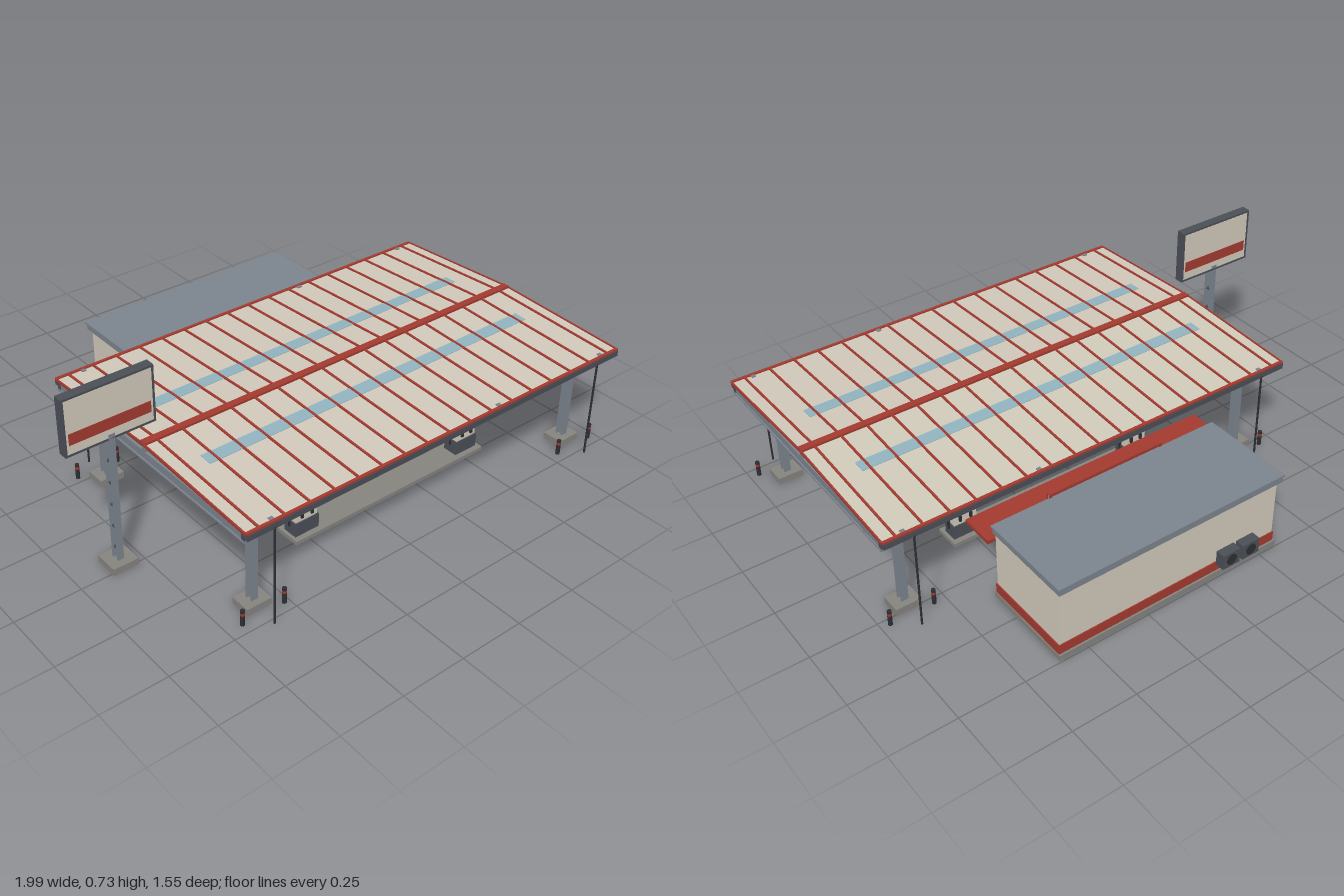
import * as THREE from 'three';

const paint = (color) => new THREE.MeshStandardMaterial({ color });
const M = {
  cream: paint(0xd0c9ba), red: paint(0xa23a30), glass: paint(0x90b3be), steel: paint(0x7b838d),
  dark: paint(0x4a4e56), black: paint(0x2c2e33), concrete: paint(0x85837e), amber: paint(0xe0a23c),
};

// box given by its min/max extents on each axis
function box(parent, name, mat, [x0, x1], [y0, y1], [z0, z1]) {
  const m = new THREE.Mesh(new THREE.BoxGeometry(x1 - x0, y1 - y0, z1 - z0), mat);
  m.position.set((x0 + x1) / 2, (y0 + y1) / 2, (z0 + z1) / 2);
  m.name = name;
  parent.add(m);
  return m;
}

function rod(parent, name, mat, r, x, y0, y1, z, sides = 10) {
  const m = new THREE.Mesh(new THREE.CylinderGeometry(r, r, y1 - y0, sides), mat);
  m.position.set(x, (y0 + y1) / 2, z);
  m.name = name;
  parent.add(m);
}

const around = (c, half) => [c - half, c + half];

function group(parent, name, x = 0, y = 0, z = 0) {
  const g = new THREE.Group();
  g.name = name;
  g.position.set(x, y, z);
  parent.add(g);
  return g;
}

const X0 = -0.71, X1 = 0.99, RIDGE_Z = 0.215;
const COL_X = [-0.605, 0.88], COL_Z = [0.65, -0.215];

function buildCanopy(root) {
  const canopy = group(root, 'canopy');
  // two gently pitched roof slopes, each built flat and then tilted
  for (const s of [1, -1]) {
    const slope = group(canopy, 'roofSlope', 0, 0.434, RIDGE_Z);
    slope.rotation.x = s * 0.049;
    const zr = (a, b) => (s > 0 ? [a, b] : [-b, -a]);
    box(slope, 'roofPanel', M.cream, [X0, X1], [-0.008, 0], zr(0, 0.548));
    box(slope, 'skylight', M.glass, [-0.596, 0.87], [-0.01, 0.002], zr(0.16, 0.212));
    for (let i = 0; i < 17; i++) {
      box(slope, 'roofRib', M.red, around(-0.66 + i * 0.1, 0.004), [0, 0.005], zr(0, 0.548));
    }
    for (const x of [X0, X1]) box(slope, 'rakeTrim', M.red, around(x, 0.003), [-0.006, 0.004], zr(0, 0.548));
    for (const z of [0.1, 0.27, 0.42]) {
      box(slope, 'purlin', M.steel, [X0 + 0.01, X1 - 0.01], [-0.022, -0.008], zr(z - 0.006, z + 0.006));
    }
    for (const x of [-0.605, 0.385, 0.91]) {
      box(slope, 'gutterClip', M.steel, around(x, 0.008), [0, 0.004], zr(0.528, 0.545));
    }
    // gutter along the eave
    const ez = RIDGE_Z + s * 0.547;
    box(canopy, 'gutter', M.dark, [X0, X1], [0.384, 0.406], around(ez, 0.008));
    box(canopy, 'gutterTrim', M.red, [X0, X1], [0.406, 0.412], around(ez, 0.006));
    box(canopy, 'eaveBeam', M.dark, [X0, X1], [0.37, 0.402], around(RIDGE_Z + s * 0.53, 0.009));
  }
  box(canopy, 'ridgeCap', M.red, [X0, X1], [0.431, 0.442], around(RIDGE_Z, 0.014));
  box(canopy, 'ridgeBeam', M.steel, [X0, X1], [0.385, 0.42], around(RIDGE_Z, 0.008));
  // cross beams with a flange, and main beams over the columns
  for (const x of [X0 + 0.007, -0.605, -0.31, -0.01, 0.285, 0.58, 0.88, X1 - 0.007]) {
    box(canopy, 'crossBeam', M.steel, around(x, 0.005), [0.37, 0.404], [-0.325, 0.755]);
    box(canopy, 'crossBeamFlange', M.steel, around(x, 0.01), [0.369, 0.375], [-0.325, 0.755]);
  }
  for (const z of COL_Z) {
    box(canopy, 'mainBeam', M.steel, [X0, X1], [0.372, 0.405], around(z, 0.01));
  }
  // under-roof lamps
  for (const x of [-0.43, 0.14, 0.7]) {
    for (const z of [0.465, -0.03]) box(canopy, 'canopyLamp', M.cream, around(x, 0.05), [0.364, 0.384], around(z, 0.015));
  }
  // I-section columns with footing, downspout and two guard bollards
  for (const x of COL_X) {
    for (const z of COL_Z) {
      const out = z > RIDGE_Z ? 1 : -1;
      const c = group(canopy, 'column', x, 0, z);
      box(c, 'footing', M.concrete, around(0, 0.049), [0, 0.026], around(0, 0.04));
      box(c, 'web', M.steel, around(0, 0.005), [0.026, 0.375], around(0, 0.012));
      for (const f of [-1, 1]) {
        box(c, 'flange', M.steel, around(0, 0.014), [0.026, 0.375], around(f * 0.0125, 0.0025));
        rod(c, 'bollard', M.black, 0.008, f * 0.085, 0, 0.062, out * 0.061);
        rod(c, 'bollardBand', M.red, 0.0085, f * 0.085, 0.042, 0.052, out * 0.061);
      }
      rod(c, 'downspout', M.black, 0.004, 0, 0, 0.39, RIDGE_Z + out * 0.552 - z, 8);
    }
  }
}

function buildPump(parent, x, z) {
  const p = group(parent, 'fuelPump', x, 0, z);
  box(p, 'pumpBase', M.dark, around(0, 0.052), [0.015, 0.07], around(0, 0.03));
  box(p, 'pumpBody', M.cream, around(0, 0.047), [0.07, 0.175], around(0, 0.025));
  for (const f of [-1, 1]) {
    box(p, 'pumpNeck', M.steel, around(f * 0.03, 0.004), [0.175, 0.198], around(0, 0.004));
    box(p, 'screenFrame', M.dark, around(0, 0.031), [0.118, 0.161], around(f * 0.0255, 0.0015));
    box(p, 'screen', M.amber, around(0, 0.026), [0.123, 0.156], around(f * 0.027, 0.0015));
    for (const s of [-1, 1]) box(p, 'nozzle', M.black, around(s * 0.022, 0.005), [0.085, 0.108], around(f * 0.028, 0.004));
    // hose looping down the side
    const curve = new THREE.CatmullRomCurve3([[0.047, 0.15], [0.056, 0.14], [0.058, 0.08], [0.054, 0.045], [0.05, 0.09]]
      .map(([hx, hy]) => new THREE.Vector3(f * hx, hy, 0)));
    const hose = new THREE.Mesh(new THREE.TubeGeometry(curve, 16, 0.003, 6), M.black);
    hose.name = 'hose';
    p.add(hose);
  }
  box(p, 'pumpCap', M.red, around(0, 0.061), [0.197, 0.209], around(0, 0.034));
}

function buildShop(root) {
  const shop = group(root, 'shop');
  const W = [-0.32, 0.605], zf = -0.38, zb = -0.733;
  box(shop, 'plinth', M.concrete, [-0.33, 0.612], [0, 0.022], [-0.744, -0.372]);
  box(shop, 'walls', M.cream, W, [0.022, 0.29], [zb, zf]);
  box(shop, 'redBand', M.red, [-0.324, 0.609], [0.022, 0.06], [zb - 0.004, zf + 0.004]);
  box(shop, 'roofCornice', M.steel, [-0.335, 0.612], [0.284, 0.308], [-0.745, -0.374]);
  box(shop, 'roofSlab', M.steel, [-0.34, 0.617], [0.308, 0.316], [-0.75, -0.37]);
  // shop front glazing, mullions and door
  box(shop, 'window', M.glass, [-0.21, 0.49], [0.06, 0.205], [zf, zf + 0.003]);
  for (const x of [-0.21, -0.095, 0.02, 0.135, 0.25, 0.375, 0.49]) {
    box(shop, 'mullion', M.steel, around(x, 0.003), [0.06, 0.208], [zf, zf + 0.006]);
  }
  box(shop, 'windowHead', M.steel, [-0.213, 0.493], [0.203, 0.209], [zf, zf + 0.006]);
  box(shop, 'door', M.dark, [0.265, 0.358], [0.024, 0.205], [zf, zf + 0.008]);
  box(shop, 'doorHandle', M.steel, [0.277, 0.281], [0.09, 0.14], [zf + 0.008, zf + 0.013]);
  // awning with lamps and raised blank signboard
  box(shop, 'awning', M.red, [-0.365, 0.636], [0.252, 0.266], [zf, -0.245]);
  box(shop, 'awningSoffit', M.dark, [-0.3, 0.585], [0.236, 0.252], [zf, -0.252]);
  for (const x of [-0.205, 0.2, 0.49]) box(shop, 'awningLamp', M.black, around(x, 0.006), [0.224, 0.24], around(-0.31, 0.008));
  const B = [-0.105, 0.382];
  box(shop, 'signboard', M.cream, B, [0.268, 0.328], [-0.37, -0.36]);
  for (const y of [0.271, 0.325]) box(shop, 'signboardRail', M.red, B, around(y, 0.006), [-0.373, -0.355]);
  for (const x of [B[0] + 0.006, B[1] - 0.006]) box(shop, 'signboardStile', M.red, around(x, 0.006), [0.265, 0.331], [-0.373, -0.355]);
  // rear cooling units
  for (const x of [-0.182, -0.094]) {
    box(shop, 'coolingUnit', M.dark, around(x, 0.038), [0.05, 0.11], [-0.774, -0.737]);
    const fan = new THREE.Mesh(new THREE.CylinderGeometry(0.022, 0.022, 0.004, 16), M.black);
    fan.rotation.x = Math.PI / 2;
    fan.position.set(x, 0.08, -0.774);
    fan.name = 'coolingFan';
    shop.add(fan);
  }
}

function buildRoadSign(root) {
  const sign = group(root, 'roadSign', -0.832, 0, 0.214);
  box(sign, 'signFooting', M.concrete, around(0, 0.049), [0, 0.026], around(0, 0.048));
  for (const s of [-1, 1]) {
    box(sign, 'signPost', M.steel, around(0, 0.012), [0.026, 0.535], around(s * 0.014, 0.004));
    box(sign, 'signFace', M.cream, around(0, 0.16), [0.523, 0.719], around(s * 0.015, 0.002));
    box(sign, 'signStripe', M.red, around(0, 0.152), [0.556, 0.598], around(s * 0.0165, 0.002));
  }
  for (let i = 0; i < 6; i++) box(sign, 'signRung', M.dark, around(0, 0.008), around(0.07 + i * 0.088, 0.004), around(0, 0.014));
  box(sign, 'signCore', M.dark, around(0, 0.166), [0.517, 0.725], around(0, 0.013));
  for (const y of [0.519, 0.724]) box(sign, 'signRail', M.dark, around(0, 0.168), around(y, 0.004), around(0, 0.018));
  for (const x of [-0.164, 0.164]) box(sign, 'signStile', M.dark, around(x, 0.004), [0.515, 0.728], around(0, 0.018));
}

export function createModel() {
  const root = new THREE.Group();
  root.name = 'fuelStation';
  buildCanopy(root);
  // pump islands
  for (const z of [0.465, -0.03]) {
    const island = group(root, 'pumpIsland');
    box(island, 'islandCurb', M.concrete, [-0.31, 0.59], [0, 0.015], around(z, 0.052));
    for (const x of [-0.245, 0.525]) buildPump(island, x, z);
  }
  buildShop(root);
  buildRoadSign(root);
  return root;
}
